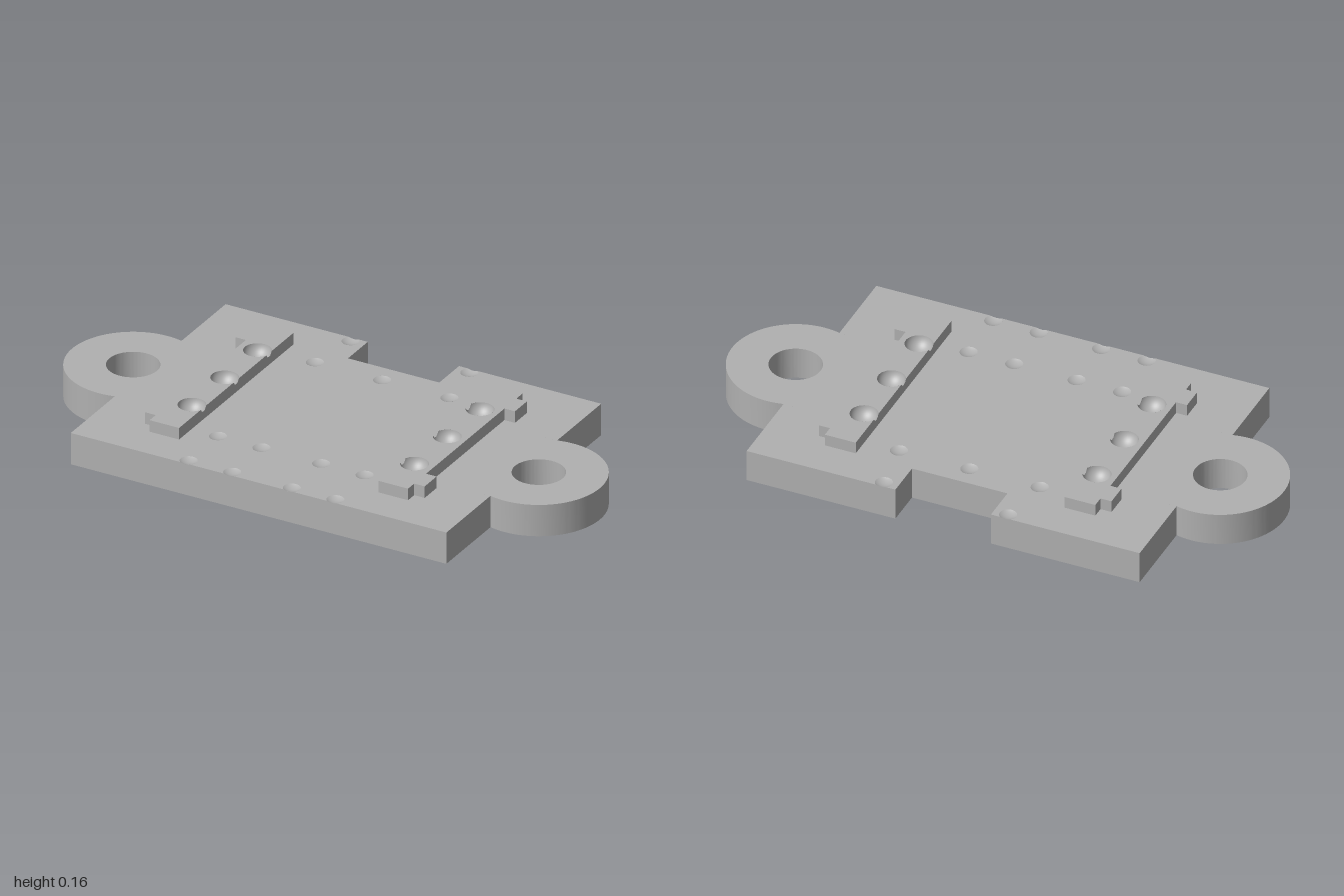
import * as THREE from 'three';
import { toCreasedNormals } from 'three/addons/utils/BufferGeometryUtils.js';

const grey = new THREE.MeshStandardMaterial({ color: 0xb0b0b0, side: THREE.DoubleSide });
grey.name = 'plain grey';

const PLATE = 0.117, RAIL = 0.043;

function addMesh(group, name, geometry) {
  const mesh = new THREE.Mesh(geometry, grey);
  mesh.name = name;
  group.add(mesh);
  return mesh;
}

// Spherical pit with rim radius and depth; c is the sphere centre's height over the surface
function pit(x, s, rim, depth) {
  const r = (rim * rim + depth * depth) / (2 * depth);
  return { at: new THREE.Vector2(x, s), rim, r, c: r - depth, edge: null };
}

// Bowl surface of a pit, trimmed where it breaks through an edge
function bowl(p, h) {
  const span = Math.asin(p.rim / p.r);
  const g = new THREE.SphereGeometry(p.r, 32, 10, 0, Math.PI * 2, Math.PI - span, span);
  const pos = g.attributes.position;
  if (p.edge) {
    const { t, n, e } = p.edge;
    for (let i = 0; i < pos.count; i++) {
      const v = new THREE.Vector2(pos.getX(i), -pos.getZ(i));
      if (-v.dot(n) <= e) continue;
      const m = v.dot(t);
      const y = -Math.sqrt(Math.max(p.c * p.c, p.r * p.r - e * e - m * m));
      pos.setXYZ(i, m * t.x - e * n.x, y, -(m * t.y - e * n.y));
    }
  }
  return g.translate(p.at.x, h + p.c, -p.at.y);
}

// Straight-sided slab whose top carries pits; outline is counter-clockwise in (x, -z)
function slab(name, outline, h, pits) {
  const group = new THREE.Group();
  group.name = name;
  const pts = outline.map(([x, s]) => new THREE.Vector2(x, s));
  const top = new THREE.Shape();
  top.moveTo(pts[0].x, pts[0].y);

  pts.forEach((a, i) => {
    const b = pts[(i + 1) % pts.length];
    const len = a.distanceTo(b);
    const t = b.clone().sub(a).divideScalar(len);
    const n = new THREE.Vector2(-t.y, t.x);
    const cuts = [];
    for (const p of pits) {
      const d = p.at.clone().sub(a);
      const along = d.dot(t), e = d.dot(n);
      if (Math.abs(e) >= p.rim || along <= 0 || along >= len) continue;
      p.edge = { t, n, e };
      cuts.push({ p, along, e, w: Math.sqrt(p.rim * p.rim - e * e) });
    }
    cuts.sort((q, r) => q.along - r.along);

    // bites in the top face
    for (const { p, along, e, w } of cuts) {
      const start = a.clone().addScaledVector(t, along - w);
      const end = a.clone().addScaledVector(t, along + w);
      top.lineTo(start.x, start.y);
      top.absarc(p.at.x, p.at.y, p.rim, start.sub(p.at).angle(), end.sub(p.at).angle(), true);
    }
    if (i < pts.length - 1) top.lineTo(b.x, b.y);

    // side wall with matching notches
    const wall = new THREE.Shape();
    wall.moveTo(0, 0);
    wall.lineTo(len, 0);
    wall.lineTo(len, h);
    for (const { p, along, e, w } of cuts.reverse()) {
      wall.lineTo(along + w, h);
      wall.absarc(along, h + p.c, Math.sqrt(p.r * p.r - e * e),
        Math.atan2(-p.c, w), Math.atan2(-p.c, -w), true);
    }
    wall.lineTo(0, h);
    const place = new THREE.Matrix4().makeBasis(
      new THREE.Vector3(t.x, 0, -t.y), new THREE.Vector3(0, 1, 0), new THREE.Vector3(t.y, 0, t.x));
    place.setPosition(a.x, 0, -a.y);
    addMesh(group, 'side', new THREE.ShapeGeometry(wall, 16).applyMatrix4(place));
  });

  for (const p of pits) {
    if (!p.edge) top.holes.push(new THREE.Path().absarc(p.at.x, p.at.y, p.rim, 0, Math.PI * 2, true));
    addMesh(group, 'pit', bowl(p, h));
  }
  addMesh(group, 'top', new THREE.ShapeGeometry(top, 32).rotateX(-Math.PI / 2).translate(0, h, 0));
  addMesh(group, 'underside', new THREE.ShapeGeometry(new THREE.Shape(pts)).rotateX(-Math.PI / 2));
  return group;
}

// Rounded mounting ear with a bolt hole
function ear() {
  const cx = 0.769, r = 0.231, inner = 0.66;
  const a = Math.acos((0.712 - cx) / r), half = r * Math.sin(a);
  const s = new THREE.Shape();
  s.moveTo(inner, -half);
  s.lineTo(0.712, -half);
  s.absarc(cx, 0, r, -a, a, false);
  s.lineTo(inner, half);
  s.closePath();
  s.holes.push(new THREE.Path().absarc(cx, 0, 0.09, 0, Math.PI * 2, true));
  const g = new THREE.ExtrudeGeometry(s, { depth: PLATE, bevelEnabled: false, curveSegments: 48 });
  return toCreasedNormals(g.rotateX(-Math.PI / 2), 0.5);
}

export function createModel() {
  const model = new THREE.Group();
  const body = new THREE.Group();
  body.name = 'mountingPlate';
  body.rotation.y = -0.087;
  model.add(body);

  // Base plate: notched back edge and pockets that receive the ears
  const right = [[0.712, -0.52], [0.712, -0.224], [0.66, -0.224], [0.66, 0.224], [0.712, 0.224],
    [0.712, 0.52], [0.173, 0.52], [0.173, 0.387]];
  const left = right.map(([x, s]) => [-x, s]).reverse();
  const dents = [];
  for (const x of [-0.278, -0.113, 0.113, 0.278])
    for (const s of [-0.3, -0.497]) dents.push(pit(x, s, 0.03, 0.008));
  for (const x of [-0.255, 0, 0.255]) dents.push(pit(x, 0.31, 0.03, 0.008));
  for (const x of [-0.225, 0.225]) dents.push(pit(x, 0.497, 0.03, 0.008));
  body.add(slab('basePlate', [...right, ...left], PLATE, dents));

  // Ears on both sides
  const earGeometry = ear();
  addMesh(body, 'leftEar', earGeometry);
  addMesh(body, 'rightEar', earGeometry).rotation.y = Math.PI;

  // Raised rails with outward tabs and three round pockets each
  const rail = [[0.378, -0.384], [0.49, -0.384], [0.49, -0.343], [0.53, -0.343], [0.53, -0.263],
    [0.49, -0.263], [0.49, 0.263], [0.53, 0.263], [0.53, 0.343], [0.49, 0.343], [0.49, 0.384], [0.378, 0.384]];
  for (const side of [1, -1]) {
    const outline = rail.map(([x, s]) => [side * x, s]);
    if (side < 0) outline.reverse();
    const pockets = [-0.22, 0, 0.22].map((s) => pit(side * 0.422, s, 0.0477, 0.0425));
    const part = slab(side > 0 ? 'leftRail' : 'rightRail', outline, RAIL, pockets);
    part.position.y = PLATE;
    body.add(part);
  }
  return model;
}
